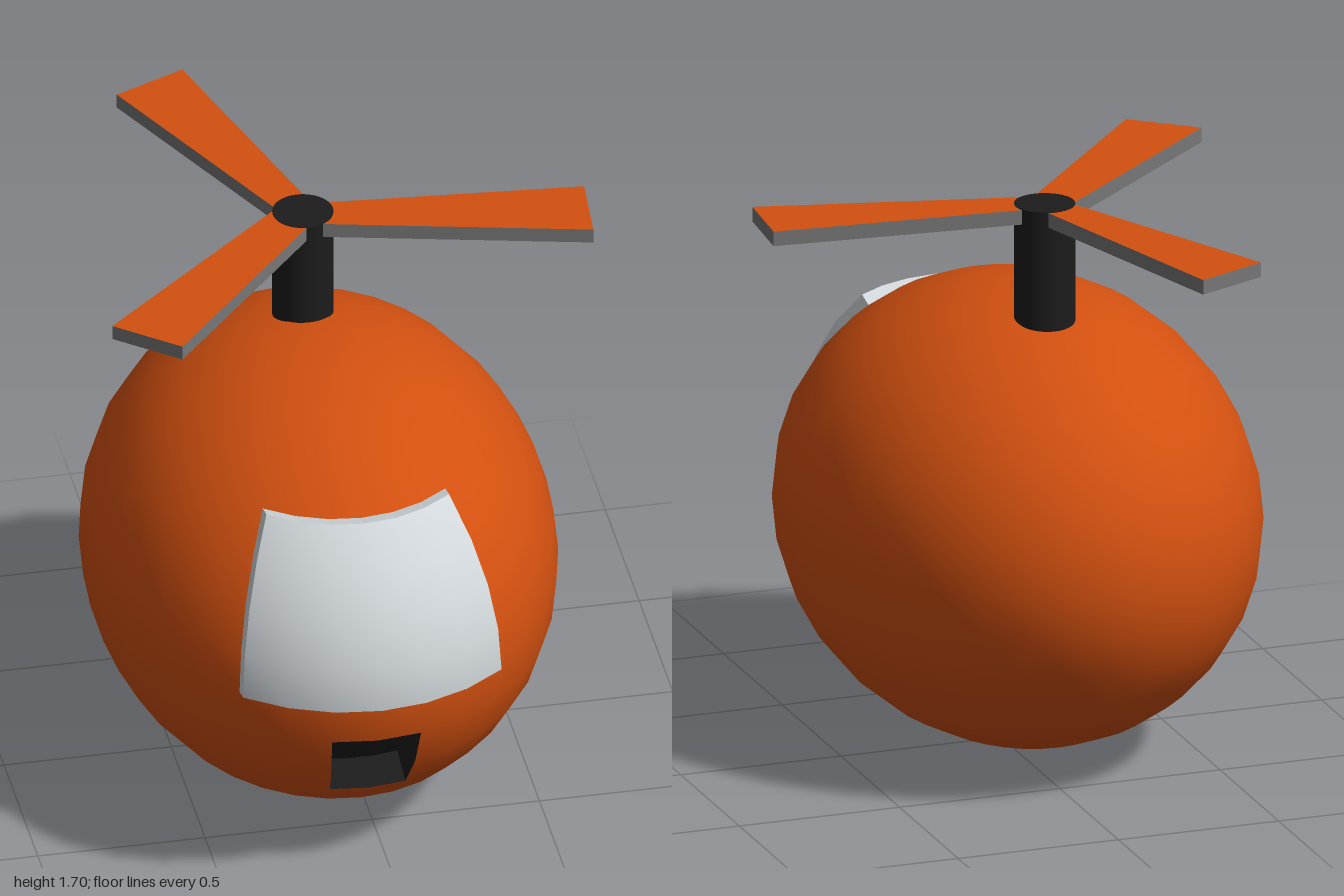
import * as THREE from 'three';
import { mergeGeometries } from 'three/addons/utils/BufferGeometryUtils.js';

const STEP = Math.PI / 16; // body grid: 32 columns, 16 rows
const RADII = [0.695, 0.69, 0.895];
const CENTRE = [-0.07, 0.69, 0.05];

const paint = (color) => new THREE.MeshStandardMaterial({ color, side: THREE.DoubleSide });
const orange = paint(0xd25010);
const black = paint(0x1c1c1c);
const white = paint(0xd0d6d9);
const grey = paint(0x777777);

function add(group, name, geometry, material) {
  const mesh = new THREE.Mesh(geometry, material);
  mesh.name = name;
  group.add(mesh);
  return mesh;
}

// Piece of the egg surface between grid columns and rows (column 8 faces front)
function eggPatch(c0, c1, r0, r1) {
  return new THREE.SphereGeometry(1, c1 - c0, r1 - r0, c0 * STEP, (c1 - c0) * STEP, r0 * STEP, (r1 - r0) * STEP)
    .scale(...RADII).translate(...CENTRE);
}

function eggPoint(c, r) {
  const p = new THREE.Vector3().setFromSphericalCoords(1, r * STEP, c * STEP - Math.PI / 2);
  return p.multiply(new THREE.Vector3(...RADII)).add(new THREE.Vector3(...CENTRE));
}

// Patch moved by an offset, with walls joining it back to the egg surface
function pushedPatch(c0, c1, r0, r1, offset) {
  const cap = eggPatch(c0, c1, r0, r1).translate(...offset.toArray()).toNonIndexed();
  cap.deleteAttribute('uv');
  const rim = [];
  for (let c = c0; c < c1; c++) rim.push([c, r0]);
  for (let r = r0; r < r1; r++) rim.push([c1, r]);
  for (let c = c1; c > c0; c--) rim.push([c, r1]);
  for (let r = r1; r > r0; r--) rim.push([c0, r]);
  const corners = [];
  rim.forEach((cell, i) => {
    const a = eggPoint(...cell);
    const b = eggPoint(...rim[(i + 1) % rim.length]);
    const a2 = a.clone().add(offset);
    const b2 = b.clone().add(offset);
    corners.push(a, a2, b2, a, b2, b);
  });
  // Walls face away from a raised patch and into a sunken one
  if (offset.z > 0) for (let i = 0; i < corners.length; i += 3) {
    [corners[i + 1], corners[i + 2]] = [corners[i + 2], corners[i + 1]];
  }
  const walls = new THREE.BufferGeometry().setFromPoints(corners);
  walls.computeVertexNormals();
  return mergeGeometries([cap, walls]);
}

// Whole egg with the triangles over the mouth left out
function eggBody() {
  const egg = eggPatch(0, 32, 0, 16);
  const pos = egg.attributes.position;
  const index = egg.index.array;
  const kept = [];
  const top = eggPoint(8, 9).y;
  const bottom = eggPoint(8, 11).y;
  for (let i = 0; i < index.length; i += 3) {
    const tri = [index[i], index[i + 1], index[i + 2]];
    const mid = new THREE.Vector3();
    tri.forEach((v) => mid.add(new THREE.Vector3().fromBufferAttribute(pos, v)));
    mid.divideScalar(3);
    const inMouth = mid.z > 0.5 && mid.y < top && mid.y > bottom
      && Math.abs(Math.atan2((mid.x - CENTRE[0]) / RADII[0], (mid.z - CENTRE[2]) / RADII[2])) < STEP;
    if (!inMouth) kept.push(...tri);
  }
  egg.setIndex(kept);
  return egg;
}

export function createModel() {
  const model = new THREE.Group();
  model.name = 'eggCopter';

  add(model, 'body', eggBody(), orange);
  add(model, 'visor', pushedPatch(5, 11, 4, 8, new THREE.Vector3(0, 0.015, 0.055)), white);
  add(model, 'mouth', pushedPatch(7, 9, 9, 11, new THREE.Vector3(0, 0.03, -0.12)), black);

  // Rotor mast
  const mast = add(model, 'mast', new THREE.CylinderGeometry(0.09, 0.09, 0.45, 32), black);
  mast.position.set(-0.07, 1.477, -0.18);

  // Rotor blades: tapered outlines seen from above, as x, z corners
  const rotor = new THREE.Group();
  rotor.name = 'rotor';
  rotor.position.y = 1.7;
  const outlines = [
    [[0.0, -0.215], [0.765, -0.15], [0.745, 0.085], [-0.06, -0.11]],
    [[-0.145, -0.21], [-0.48, -0.905], [-0.265, -1.0], [-0.045, -0.25]],
    [[-0.145, -0.21], [-0.74, 0.315], [-0.56, 0.465], [-0.06, -0.11]],
  ];
  outlines.forEach((outline, i) => {
    const shape = new THREE.Shape(outline.map(([x, z]) => new THREE.Vector2(x, z)));
    const blade = new THREE.ExtrudeGeometry(shape, { depth: 0.045, bevelEnabled: false });
    add(rotor, `blade${i + 1}`, blade.rotateX(Math.PI / 2), [orange, grey]);
  });
  model.add(rotor);
  return model;
}
